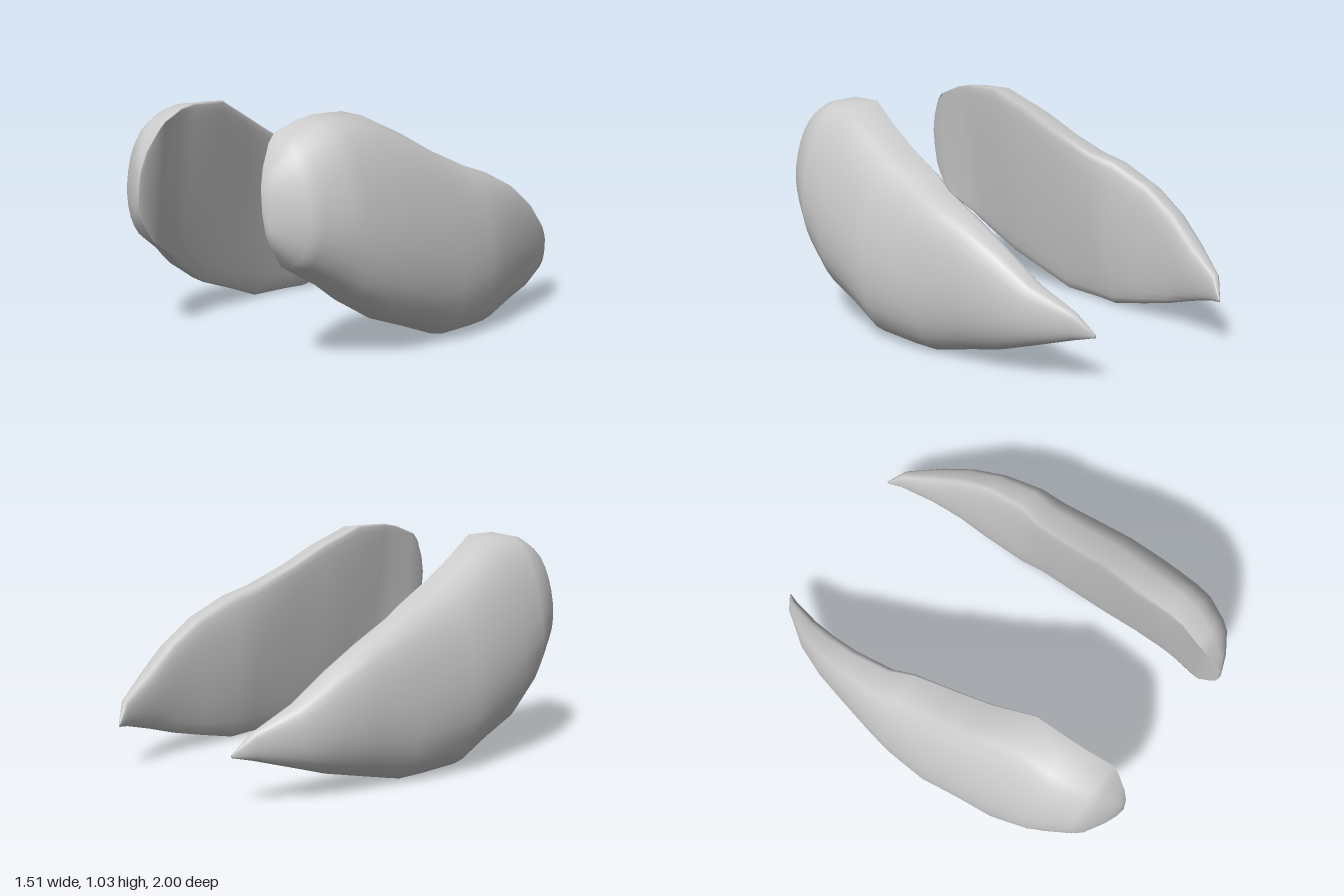
import * as THREE from 'three';

// Cross-sections from front to back:
// z, top y, bottom y, top edge x, bottom edge x, outer bulge x, inner bulge x
const SECTIONS = [
  [0.99, 0.76, 0.57, 0.37, 0.393, 0.415, 0.378],
  [0.965, 0.84, 0.51, 0.358, 0.396, 0.475, 0.372],
  [0.91, 0.93, 0.425, 0.337, 0.40, 0.565, 0.37],
  [0.87, 0.97, 0.40, 0.332, 0.41, 0.597, 0.378],
  [0.76, 1.015, 0.33, 0.355, 0.45, 0.655, 0.398],
  [0.68, 1.03, 0.26, 0.363, 0.485, 0.68, 0.41],
  [0.5, 1.03, 0.15, 0.367, 0.525, 0.71, 0.425],
  [0.3, 0.94, 0.08, 0.42, 0.54, 0.73, 0.455],
  [0.12, 0.85, 0.012, 0.445, 0.56, 0.745, 0.475],
  [-0.1, 0.76, 0.007, 0.48, 0.56, 0.737, 0.482],
  [-0.22, 0.72, 0.003, 0.525, 0.55, 0.725, 0.487],
  [-0.43, 0.63, 0.05, 0.54, 0.53, 0.685, 0.485],
  [-0.6, 0.53, 0.09, 0.53, 0.525, 0.645, 0.475],
  [-0.76, 0.41, 0.14, 0.505, 0.50, 0.585, 0.45],
  [-0.93, 0.31, 0.19, 0.45, 0.44, 0.475, 0.415],
  [-1.0, 0.22, 0.205, 0.395, 0.395, 0.40, 0.39],
];
const SIDES = 28;

// Curved pod lofted through the sections; side is +1 or -1
function podGeometry(side) {
  const positions = [];
  const indices = [];
  const tri = (a, b, c) => (side > 0 ? indices.push(a, b, c) : indices.push(a, c, b));

  for (const [z, yTop, yBottom, xTop, xBottom, xOuter, xInner] of SECTIONS) {
    const xMid = (xTop + xBottom) / 2;
    for (let k = 0; k < SIDES; k++) {
      const t = (k / SIDES) * Math.PI * 2;
      const up = (1 + Math.cos(t)) / 2;
      const s = Math.sin(t);
      // Full shoulder outside above, rounder below, flatter inside
      const bulge = s >= 0
        ? (xOuter - xMid) * Math.pow(s, up > 0.5 ? 0.58 : 0.85)
        : (xInner - xMid) * Math.pow(-s, 0.65);
      const x = THREE.MathUtils.lerp(xBottom, xTop, up) + bulge;
      positions.push(side * x, THREE.MathUtils.lerp(yBottom, yTop, up), z);
    }
  }

  // Skin between neighbouring sections
  const last = SECTIONS.length - 1;
  for (let i = 0; i < last; i++) {
    for (let k = 0; k < SIDES; k++) {
      const n = (k + 1) % SIDES;
      const a = i * SIDES + k, b = i * SIDES + n;
      tri(a, b, a + SIDES);
      tri(b, b + SIDES, a + SIDES);
    }
  }

  // Blunt nose and pointed tail
  const nose = positions.length / 3;
  positions.push(side * 0.385, 0.66, 1.0);
  positions.push(side * 0.394, 0.212, -1.0);
  for (let k = 0; k < SIDES; k++) {
    const n = (k + 1) % SIDES;
    tri(nose, n, k);
    tri(nose + 1, last * SIDES + k, last * SIDES + n);
  }

  const geometry = new THREE.BufferGeometry();
  geometry.setAttribute('position', new THREE.Float32BufferAttribute(positions, 3));
  geometry.setIndex(indices);
  geometry.computeVertexNormals();
  return geometry;
}

export function createModel() {
  const group = new THREE.Group();
  const material = new THREE.MeshStandardMaterial({ color: 0xcccccc });
  for (const side of [1, -1]) {
    const pod = new THREE.Mesh(podGeometry(side), material);
    pod.name = side > 0 ? 'leftPod' : 'rightPod';
    group.add(pod);
  }
  return group;
}
